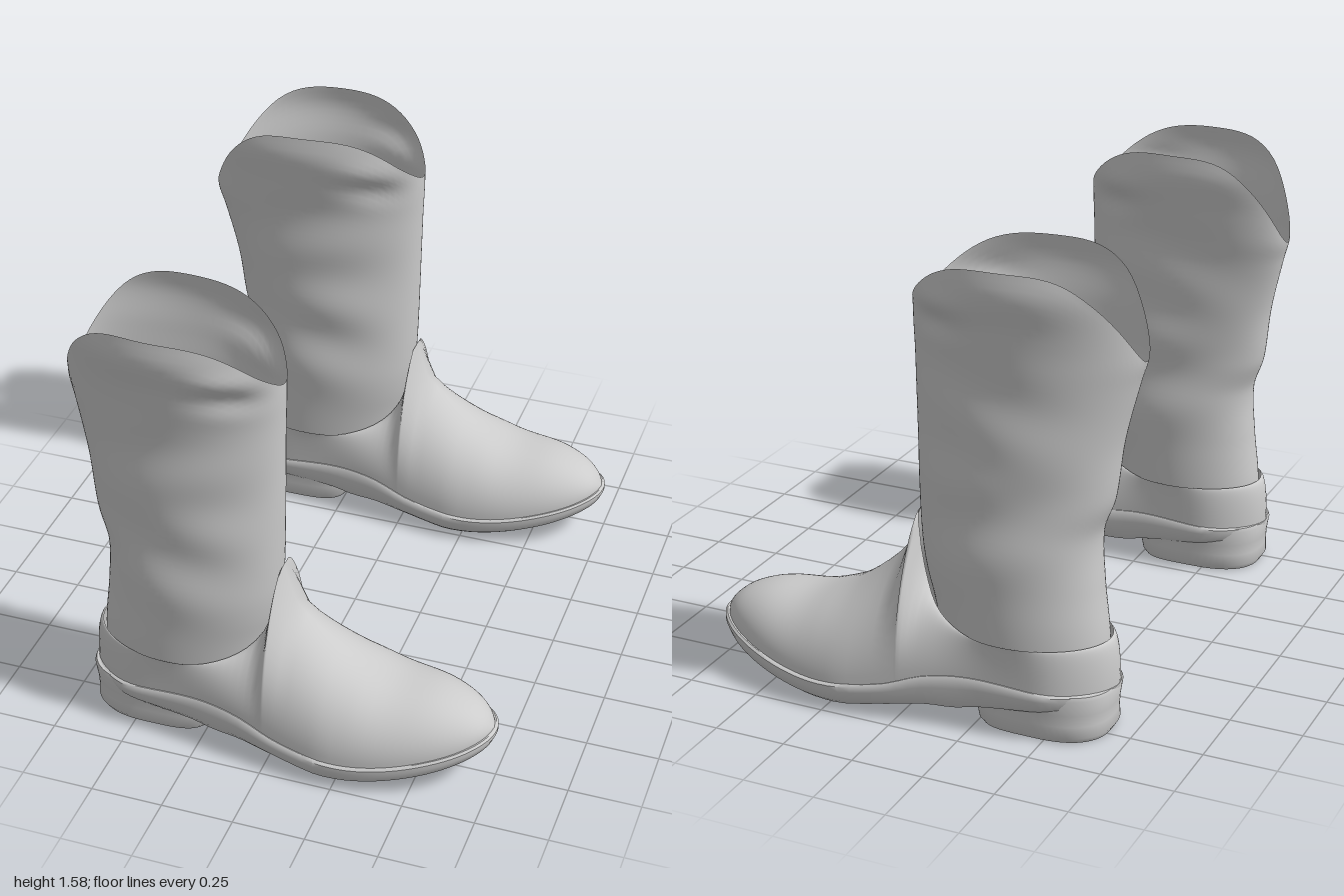
import * as THREE from 'three';
import { mergeVertices, toCreasedNormals } from 'three/addons/utils/BufferGeometryUtils.js';

const grey = new THREE.MeshStandardMaterial({ color: 0xcccccc, side: THREE.DoubleSide });
const lerp = THREE.MathUtils.lerp, clamp = THREE.MathUtils.clamp;

// Smooth curve through [x, y] points (x ascending), clamped at the ends
function curve(pts) {
  const slope = i => {
    const a = pts[Math.max(0, i - 1)], b = pts[Math.min(pts.length - 1, i + 1)];
    return (b[1] - a[1]) / (b[0] - a[0]);
  };
  return x => {
    x = clamp(x, pts[0][0], pts[pts.length - 1][0]);
    let i = 0;
    while (i < pts.length - 2 && x > pts[i + 1][0]) i++;
    const [x0, y0] = pts[i], [x1, y1] = pts[i + 1], h = x1 - x0, t = (x - x0) / h;
    const t2 = t * t, t3 = t2 * t;
    return (2 * t3 - 3 * t2 + 1) * y0 + (t3 - 2 * t2 + t) * h * slope(i)
      + (3 * t2 - 2 * t3) * y1 + (t3 - t2) * h * slope(i + 1);
  };
}

// Closed loop of n columns with m rows each; side -1 mirrors the surface in z
function loft(n, m, side, point, crease) {
  const pos = [], index = [];
  for (let i = 0; i < n; i++) for (let j = 0; j <= m; j++) {
    const [x, y, z] = point(i / n, j);
    pos.push(x, y, z * side);
  }
  for (let i = 0; i < n; i++) for (let j = 0; j < m; j++) {
    const a = i * (m + 1) + j, b = a + 1, c = ((i + 1) % n) * (m + 1) + j, d = c + 1;
    if (side > 0) index.push(a, b, c, b, d, c);
    else index.push(a, c, b, b, c, d);
  }
  let g = new THREE.BufferGeometry();
  g.setAttribute('position', new THREE.Float32BufferAttribute(pos, 3));
  g.setIndex(index);
  g = mergeVertices(g, 1e-5);
  if (crease) return toCreasedNormals(g, crease);
  g.computeVertexNormals();
  return g;
}

// Foot outline and heights along the length
const rearWidth = curve([[-0.69, 0.18], [-0.5, 0.195], [-0.25, 0.205], [0, 0.24], [0.2, 0.265]]);
const halfWidth = x => x > 0.2
  ? 0.265 * Math.sqrt(Math.max(0, 1 - ((x - 0.2) / 0.545) ** 2))
  : rearWidth(x) * Math.sqrt(Math.max(0, 1 - (Math.max(0, -0.47 - x) / 0.22) ** 2));
const footCentre = curve([[-0.7, 0.71], [-0.3, 0.722], [0.2, 0.733], [0.75, 0.733]]);
const weltY = curve([[-0.69, 0.17], [-0.5, 0.175], [-0.25, 0.19], [-0.1, 0.175], [0.05, 0.125],
  [0.25, 0.1], [0.4, 0.11], [0.6, 0.15], [0.745, 0.187]]);
const soleY = curve([[-0.69, 0.12], [-0.3, 0.085], [-0.2, 0.068], [-0.1, 0.067], [0.05, 0.045],
  [0.2, 0.025], [0.35, 0.032], [0.55, 0.072], [0.745, 0.13]]);
const topY = curve([[-0.66, 0.325], [-0.3, 0.325], [-0.2, 0.342], [-0.1, 0.385], [-0.045, 0.45],
  [-0.02, 0.54], [0, 0.68], [0.02, 0.59], [0.06, 0.52], [0.2, 0.4], [0.3, 0.347], [0.4, 0.315],
  [0.55, 0.3], [0.65, 0.268], [0.71, 0.225], [0.735, 0.187]]);

// Shaft dimensions by height
const shaftBack = curve([[0.17, -0.65], [0.32, -0.65], [0.5, -0.63], [0.68, -0.622], [0.8, -0.66],
  [1, -0.685], [1.2, -0.73], [1.28, -0.75], [1.6, -0.75]]);
const shaftFront = curve([[0.17, -0.1], [0.4, -0.05], [0.5, -0.025], [0.6, -0.01], [0.8, 0],
  [1.2, 0.01], [1.4, 0.015], [1.6, 0]]);
const shaftHalf = curve([[0.17, 0.18], [0.32, 0.19], [0.6, 0.198], [0.7, 0.197], [0.85, 0.185],
  [1, 0.182], [1.25, 0.182], [1.38, 0.2], [1.5, 0.224], [1.58, 0.215]]);
const shaftCentre = (x, y) => 0.723 - 0.06 * clamp(-x / 0.75, 0, 1) ** 3 * clamp(y / 1.3, 0.3, 1);
const bump = (x, y, cx, cy, w, h) => Math.exp(-(((x - cx) / w) ** 2) - ((y - cy) / h) ** 2);

function shaftPoint(t, v) {
  const c = Math.cos(t), s = Math.sin(t);
  const rim = 1.58 - (c > 0 ? 0.19 : 0.31) * Math.abs(c) ** 3.4;
  const y = lerp(0.17, rim, v);
  const b = shaftBack(y), f = shaftFront(y);
  const x = (b + f) / 2 + (f - b) / 2 * c;
  // Soft leather folds at the ankle, mid shaft and below the rim
  const fold = 0.012 * Math.sin(17 * y + 5 * x) * bump(x, y, -0.3, 0.75, 0.35, 0.2)
    + 0.005 * Math.sin(23 * y - 6 * x + s) * bump(x, y, -0.3, 1.1, 0.3, 0.3)
    + 0.02 * bump(x, y, -0.12, 1.45, 0.12, 0.04) - 0.025 * bump(x, y, -0.1, 1.37, 0.1, 0.04);
  return [x, y, shaftCentre(x, y) + s * (shaftHalf(y) + fold)];
}

// Vamp and heel counter: each column runs from the welt to the collar or the ridge
function upperPoint(u, j, rows) {
  const q = u <= 0.5 ? u * 2 : 2 - u * 2, sign = u <= 0.5 ? 1 : -1;
  const x = q <= 0.5 ? 0.735 * Math.cos(q * Math.PI)
    : -0.33 + 0.33 * Math.cos((q - 0.5) * 2 * Math.PI);
  const wx = x > 0 ? x : x * 0.69 / 0.66;
  const z0 = Math.max(0, halfWidth(x > 0 ? x + 0.01 * x / 0.735 : wx) - 0.01);
  const y0 = weltY(wx) - 0.004, y1 = topY(x);
  let z1 = 0;
  if (x < -1e-4) {
    const b = shaftBack(y1) - 0.01, f = shaftFront(y1) + 0.01;
    const c = clamp((x - (b + f) / 2) / ((f - b) / 2), -1, 1);
    z1 = (shaftHalf(y1) + 0.008) * Math.sqrt(1 - c * c);
  }
  const a = j / rows * Math.PI / 2;
  const k = 0.9 + 0.6 * Math.max(0, 1 - Math.abs(x) / 0.3);
  const w = j === rows ? 0 : Math.cos(a) ** k;
  const centre = lerp(x < 0 ? shaftCentre(x, y1) : footCentre(x), footCentre(wx), x < 0 ? w : 1);
  return [lerp(x, wx, w), lerp(y0, y1, Math.sin(a)), centre + sign * lerp(z1, z0, w)];
}

// Sole rows: [x scale, width scale, height fraction]
const soleRows = [[0.965, 0, 0], [0.965, 0.9, 0], [0.985, 0.965, 0.2], [1, 1, 0.65],
  [1, 1, 0.9], [0.99, 0.97, 1], [0.98, 0, 1]];
function solePoint(u, j) {
  const t = u * Math.PI * 2;
  const x = 0.0275 + 0.7175 * Math.cos(t);
  const [sx, sz, h] = soleRows[j];
  return [x * sx, lerp(soleY(x), weltY(x), h),
    footCentre(x) + Math.sign(Math.sin(t)) * halfWidth(x) * sz];
}

// Heel rows: [scale, y, back x, front x]
const heelRows = [[0, 0, -0.67, -0.25], [0.93, 0, -0.67, -0.25], [1, 0.02, -0.682, -0.237],
  [1, 0.06, -0.68, -0.228], [1, 0.1, -0.682, -0.21], [1.04, 0.155, -0.69, -0.2],
  [1.02, 0.168, -0.685, -0.2], [0, 0.168, -0.68, -0.2]];
function heelPoint(u, j) {
  const t = u * Math.PI * 2, c = Math.cos(t), s = Math.sin(t);
  const [k, y, back, front] = heelRows[j];
  const e = c > 0 ? 0.5 : 0.8;
  const r = k === 0 ? 0 : 1;
  const x = (back + front) / 2 + r * (front - back) / 2 * Math.sign(c) * Math.abs(c) ** e;
  return [x, y, 0.717 + k * 0.172 * Math.sign(s) * Math.abs(s) ** e];
}

function createBoot(side) {
  const boot = new THREE.Group();
  const add = (name, geometry) => {
    const mesh = new THREE.Mesh(geometry, grey);
    mesh.name = name;
    boot.add(mesh);
  };
  add('shaft', loft(80, 60, side, (u, j) => shaftPoint(u * Math.PI * 2, j / 60)));
  add('upper', loft(112, 16, side, (u, j) => upperPoint(u, j, 16)));
  add('sole', loft(112, soleRows.length - 1, side, solePoint, 0.8));
  add('heel', loft(64, heelRows.length - 1, side, heelPoint, 0.8));
  return boot;
}

export function createModel() {
  const model = new THREE.Group();
  model.name = 'pairOfBoots';
  for (const [name, side] of [['rightBoot', 1], ['leftBoot', -1]]) {
    const boot = createBoot(side);
    boot.name = name;
    model.add(boot);
  }
  return model;
}
